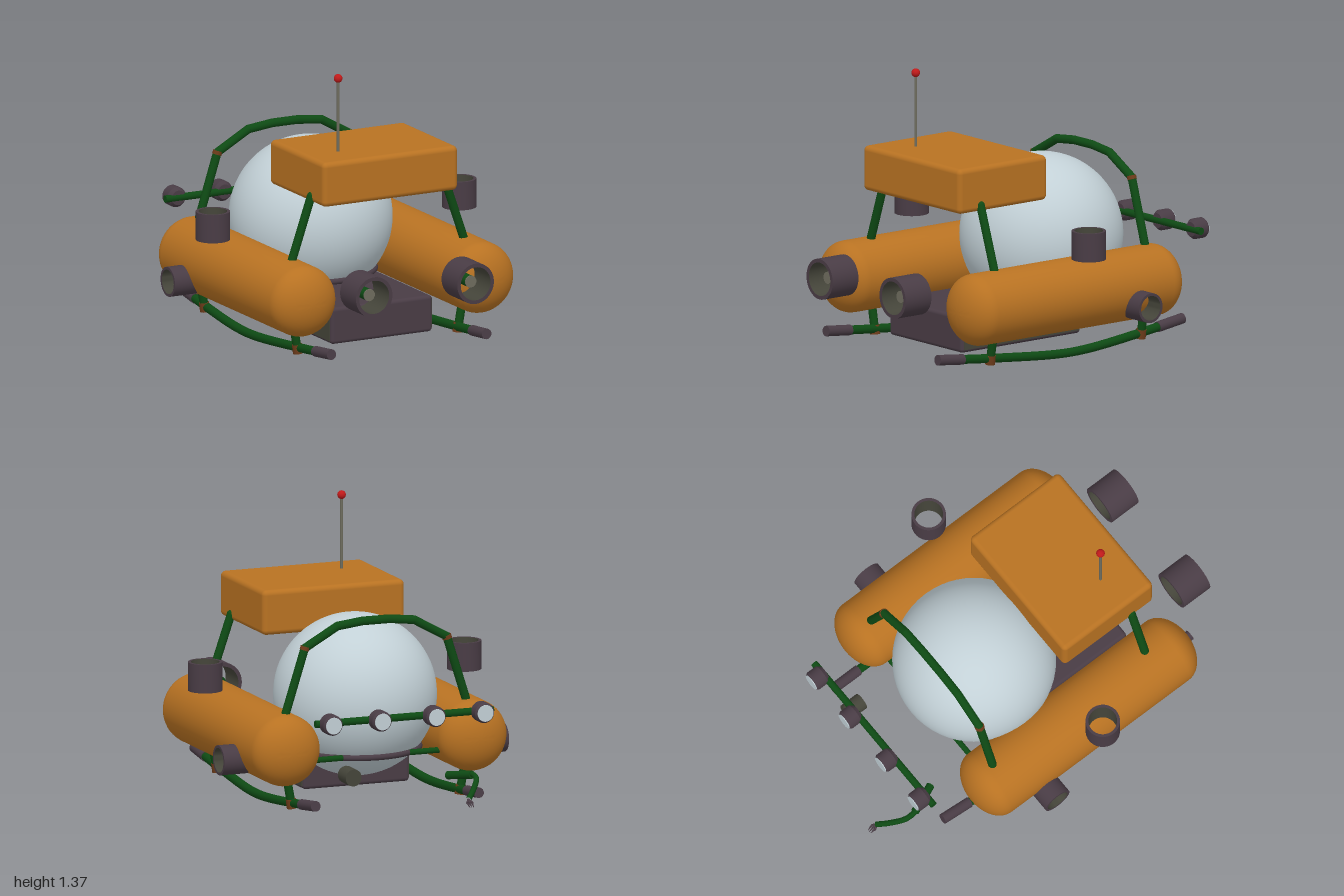
import * as THREE from 'three';
import { toCreasedNormals } from 'three/addons/utils/BufferGeometryUtils.js';
import { RoundedBoxGeometry } from 'three/addons/geometries/RoundedBoxGeometry.js';

const mat = (name, color) => {
  const m = new THREE.MeshStandardMaterial({ color });
  m.name = name;
  return m;
};
const V = (x, y, z) => new THREE.Vector3(x, y, z);

export function createModel() {
  const root = new THREE.Group();
  root.name = 'submersible';
  const orange = mat('orange', 0xb87222);
  const glass = mat('paleGlass', 0xc2d0d6);
  const green = mat('darkGreen', 0x0e4a14);
  const plum = mat('plumGrey', 0x493c45);
  const olive = mat('olive', 0x45453a);
  const grey = mat('warmGrey', 0x6e6c5e);
  const red = mat('red', 0xc01a1a);
  const brown = mat('brown', 0x6e3c1a);

  const add = (name, geo, material, x = 0, y = 0, z = 0, parent = root) => {
    const m = new THREE.Mesh(geo, material);
    m.name = name;
    m.position.set(x, y, z);
    parent.add(m);
    return m;
  };
  const lathe = (pts, n = 40, crease = 0.6) => toCreasedNormals(
    new THREE.LatheGeometry(pts.map(p => new THREE.Vector2(p[0], p[1])), n), crease);
  // Straight capped rod between two points
  const rod = (name, a, b, r, material, r2 = r) => {
    const m = add(name, new THREE.CylinderGeometry(r2, r, a.distanceTo(b), 14), material);
    m.position.copy(a).add(b).multiplyScalar(0.5);
    m.quaternion.setFromUnitVectors(V(0, 1, 0), b.clone().sub(a).normalize());
    return m;
  };
  // Bent pipe: rods with ball joints
  const pipe = (name, pts, r, material) => {
    for (let i = 0; i < pts.length; i++) {
      if (i) rod(name, pts[i - 1], pts[i], r, material);
      add(name + 'Joint', new THREE.SphereGeometry(r, 14, 10), material, ...pts[i].toArray());
    }
  };
  // Open duct along y: plum shell and rims, olive lining
  const duct = (name, ro, ri, h, x, y, z) => {
    const g = new THREE.Group();
    g.name = name;
    g.position.set(x, y, z);
    add('shell', lathe([[ri, -h], [ro, -h], [ro, h], [ri, h]]), plum, 0, 0, 0, g);
    add('lining', lathe([[ri, h], [ri, -h]]), olive, 0, 0, 0, g);
    root.add(g);
    return g;
  };

  // Cabin sphere and its cradle ring
  add('cabinSphere', new THREE.SphereGeometry(0.395, 56, 40), glass, 0, 0.52, -0.15);
  add('cradleRing', new THREE.TorusGeometry(0.31, 0.015, 10, 56), plum, 0, 0.265, -0.15).rotation.x = Math.PI / 2;

  // Roof tank and mast
  add('roofTank', new RoundedBoxGeometry(0.74, 0.22, 0.55, 4, 0.025), orange, 0, 0.89, 0.385);
  rod('mast', V(-0.19, 0.99, 0.475), V(-0.19, 1.36, 0.475), 0.007, grey);
  add('mastLight', new THREE.SphereGeometry(0.021, 20, 14), red, -0.19, 1.362, 0.475);

  // Battery box under the cabin, with side panels
  add('batteryBox', new RoundedBoxGeometry(0.555, 0.18, 0.74, 3, 0.018), plum, 0, 0.16, 0.2);
  for (const s of [-1, 1]) add('batterySidePanel', new THREE.BoxGeometry(0.006, 0.15, 0.71), olive, s * 0.277, 0.16, 0.2);

  // Pontoon profile: cylinder with flattened elliptical ends
  const profile = [];
  const R = 0.175, half = 0.665, cap = 0.12;
  for (const s of [-1, 1]) {
    for (let i = 0; i <= 12; i++) {
      const a = (s < 0 ? i : 12 - i) / 12 * Math.PI / 2;
      profile.push([R * Math.sin(a), s * (half - cap + cap * Math.cos(a))]);
    }
  }
  const pontoonGeo = lathe(profile, 48, 0.7);

  for (const s of [-1, 1]) {
    add('pontoon', pontoonGeo, orange, s * 0.487, 0.333, 0.105).rotation.x = Math.PI / 2;

    // Curved skid with dark end sleeves
    const skid = new THREE.CatmullRomCurve3([
      V(s * 0.425, 0.1, 0.84), V(s * 0.435, 0.065, 0.5), V(s * 0.445, 0.033, 0.1),
      V(s * 0.445, 0.035, -0.08), V(s * 0.435, 0.065, -0.41), V(s * 0.425, 0.098, -0.68)]);
    add('skid', new THREE.TubeGeometry(skid, 32, 0.022, 12), green);
    rod('skidSleeve', skid.getPoint(0), skid.getPoint(0.09), 0.026, plum);
    rod('skidSleeve', skid.getPoint(1), skid.getPoint(0.88), 0.026, plum);

    // Front legs, from skid to roof tank
    pipe('roofLeg', [V(s * 0.44, 0.06, 0.525), V(s * 0.475, 0.25, 0.525),
      V(s * 0.475, 0.49, 0.525), V(s * 0.365, 0.81, 0.525)], 0.021, green);

    // Clamps on skids and hoop corners
    for (const z of [0.525, -0.41]) rod('skidClamp', V(s * 0.437, 0.04, z), V(s * 0.443, 0.085, z), 0.025, brown);
    rod('hoopClamp', V(s * 0.373, 0.81, -0.41), V(s * 0.367, 0.828, -0.41), 0.0235, brown);

    // Vertical, side and main thruster ducts
    duct('verticalThruster', 0.083, 0.069, 0.07, s * 0.675, 0.61, 0.105);
    duct('sideThruster', 0.073, 0.06, 0.07, s * 0.672, 0.263, -0.225).rotation.z = Math.PI / 2;
    duct('mainThruster', 0.1, 0.082, 0.08, s * 0.278, 0.402, 0.92).rotation.x = Math.PI / 2;
    rod('thrusterHub', V(s * 0.278, 0.402, 0.87), V(s * 0.278, 0.402, 0.945), 0.029, green);
    rod('hubCap', V(s * 0.278, 0.402, 0.945), V(s * 0.278, 0.402, 0.952), 0.03, grey);
  }

  // Hoop over the cabin
  const hoop = [[0.44, 0.06], [0.475, 0.25], [0.475, 0.49], [0.37, 0.82], [0.2, 0.915], [0.07, 0.93]];
  pipe('cabinHoop', [...hoop.map(p => V(p[0], p[1], -0.41)),
    ...hoop.slice().reverse().map(p => V(-p[0], p[1], -0.41))], 0.021, green);
  rod('crossbar', V(-0.46, 0.265, -0.41), V(0.46, 0.265, -0.41), 0.014, green);

  // Light bar with four lamps
  rod('lightBar', V(-0.463, 0.52, -0.765), V(0.463, 0.52, -0.765), 0.018, green);
  const lampGeo = lathe([[0, -0.04], [0.036, -0.04], [0.05, -0.022], [0.05, 0.03], [0.043, 0.04], [0, 0.04]], 24, 0.5);
  for (const x of [-0.395, -0.142, 0.14, 0.395]) {
    add('lamp', lampGeo, plum, x, 0.52, -0.795).rotation.x = -Math.PI / 2;
    add('lampLens', new THREE.CylinderGeometry(0.041, 0.041, 0.006, 24), glass, x, 0.52, -0.836).rotation.x = Math.PI / 2;
  }

  // Camera pod
  rod('cameraPod', V(0.252, 0.235, -0.64), V(0.252, 0.235, -0.74), 0.042, olive);

  // Manipulator arm with three-finger claw
  const arm = new THREE.CatmullRomCurve3([V(-0.285, 0.19, -0.645), V(-0.345, 0.215, -0.78),
    V(-0.345, 0.205, -0.84), V(-0.3, 0.165, -0.91), V(-0.257, 0.13, -0.955)]);
  rod('armBase', V(-0.28, 0.188, -0.64), V(-0.345, 0.213, -0.785), 0.02, green);
  add('arm', new THREE.TubeGeometry(arm, 24, 0.014, 10), green);
  for (const d of [-0.013, 0, 0.013]) {
    rod('clawFinger', V(-0.257, 0.13, -0.953), V(-0.257 + d, 0.117, -0.972), 0.006, plum);
    rod('clawTip', V(-0.257 + d, 0.117, -0.97), V(-0.257 + d * 0.7, 0.1, -0.998), 0.006, plum, 0.001);
  }
  return root;
}
